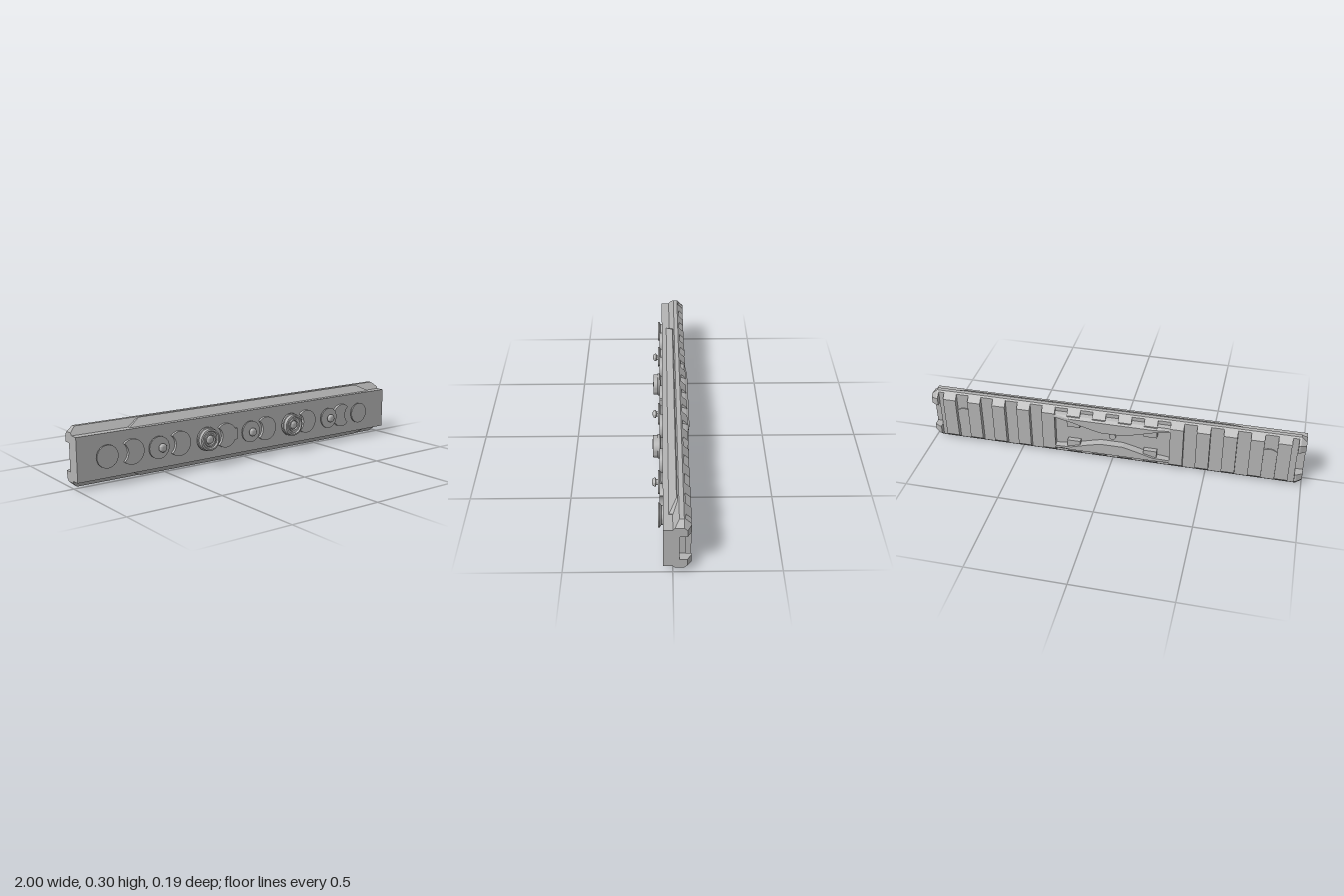
import * as THREE from 'three';
import { toCreasedNormals } from 'three/addons/utils/BufferGeometryUtils.js';

const MID = 0.15; // height of the rail's centre line
const PEAK = 0.298;

const mirrorPoints = (pts) => pts.map(([z, y]) => [z, 2 * MID - y]).reverse();

// Skins [z, y] outlines placed along x, with flat caps on both ends.
function loft(sections) {
  const pos = [];
  const put = ([x, pts], i) => pos.push(x, pts[i][1], pts[i][0]);
  for (let s = 0; s < sections.length - 1; s++) {
    const a = sections[s], b = sections[s + 1], n = a[1].length;
    for (let j = 0; j < n; j++) {
      const k = (j + 1) % n;
      put(a, j); put(b, j); put(a, k);
      put(b, j); put(b, k); put(a, k);
    }
  }
  for (const [sec, ccw] of [[sections[0], false], [sections[sections.length - 1], true]]) {
    const flat = sec[1].map(([z, y]) => new THREE.Vector2(-z, y));
    for (const [i, j, k] of THREE.ShapeUtils.triangulateShape(flat, [])) {
      const area = flat[j].clone().sub(flat[i]).cross(flat[k].clone().sub(flat[i]));
      for (const v of (area > 0) === ccw ? [i, j, k] : [i, k, j]) put(sec, v);
    }
  }
  const geo = new THREE.BufferGeometry();
  geo.setAttribute('position', new THREE.Float32BufferAttribute(pos, 3));
  geo.computeVertexNormals();
  return geo;
}

// Rail outline: back depth, peak height, channel depth and channel half height.
function railProfile(back, peak = PEAK, channel = back, half = 0.07) {
  const top = [
    [0.043, 0.26], [0, 0.26], [-(peak - 0.26) * 0.75, peak], [-0.05, peak],
    [-back, peak - (back - 0.05)], [-back, MID + half], [-channel, MID + half],
  ];
  return [...top, ...mirrorPoints(top)];
}

export function createModel() {
  const model = new THREE.Group();
  model.name = 'accessoryRail';
  const grey = new THREE.MeshStandardMaterial({ color: 0xb4b4b4 });
  grey.name = 'satinGrey';
  const add = (name, geo, x = 0, y = 0, z = 0) => {
    const mesh = new THREE.Mesh(geo, grey);
    mesh.name = name;
    mesh.position.set(x, y, z);
    model.add(mesh);
    return mesh;
  };

  // Rail body: chamfered, notched ends and a row of cross teeth on the back
  const TOOTH = 0.084, GROOVE = 0.058, NOTCH = 0.03;
  const sections = [
    [-1, railProfile(0.065, 0.272, NOTCH)],
    [-0.97, railProfile(TOOTH, PEAK, NOTCH)],
    [-0.96, railProfile(TOOTH, PEAK, NOTCH)],
    [-0.96, railProfile(GROOVE)],
  ];
  for (let i = 0; i < 14; i++) {
    const c = (i - 6.5) * 0.1375;
    const tooth = Math.abs(c) < 0.25 ? railProfile(TOOTH, PEAK, GROOVE, 0.045) : railProfile(TOOTH);
    sections.push(
      [c - 0.035, railProfile(GROOVE)], [c - 0.035, tooth],
      [c + 0.035, tooth], [c + 0.035, railProfile(GROOVE)],
    );
  }
  for (const [x, pts] of sections.slice(0, 4).reverse()) sections.push([-x, pts]);
  add('railBody', loft(sections));

  // Long ridges along the top and bottom edges, tapered at both ends
  const ridge = (y) => [[0.02, 0.257], [0.02 - (y - 0.259), y], [-0.022, y], [-0.022, 0.257]];
  const ridgeSections = [[-0.7, ridge(0.262)], [-0.63, ridge(0.297)], [0.83, ridge(0.297)], [0.9, ridge(0.262)]];

  // Raised grips in the middle of the back, with waisted inner edges
  const grip = (back, inner) => [
    [-0.055, 0.27], [-0.078, 0.262], [-back, 0.25], [-back, inner], [-0.055, inner - 0.005],
  ];
  const gripSections = [
    [-0.31, 0.084, 0.243], [-0.22, 0.094, 0.232], [-0.13, 0.094, 0.205], [-0.06, 0.094, 0.187],
    [0.06, 0.094, 0.187], [0.13, 0.094, 0.205], [0.22, 0.094, 0.232], [0.31, 0.084, 0.243],
  ].map(([x, back, inner]) => [x, grip(back, inner)]);

  for (const [name, secs] of [['edgeRidge', ridgeSections], ['backGrip', gripSections]]) {
    add(name + 'Top', loft(secs));
    add(name + 'Bottom', loft(secs.map(([x, pts]) => [x, mirrorPoints(pts)])));
  }

  // Turned parts point along +z
  const turned = (profile) => toCreasedNormals(
    new THREE.LatheGeometry(profile.map(([r, z]) => new THREE.Vector2(r, z)), 36).rotateX(Math.PI / 2), 0.6);

  // Mushroom-shaped mounting studs
  const stud = turned([[0.045, 0.04], [0.045, 0.05], [0.057, 0.058], [0.057, 0.066], [0, 0.066]]);
  for (const x of [-0.85, -0.565, 0, 0.553, 0.785]) add('mountingStud', stud, x, MID);

  // Ringed lock nuts with a recessed face
  const nut = turned([
    [0.045, 0.04], [0.045, 0.05], [0.062, 0.056], [0.062, 0.067], [0.057, 0.069], [0.057, 0.09],
    [0.048, 0.092], [0.044, 0.084], [0.036, 0.084], [0.034, 0.09], [0.026, 0.09], [0.024, 0.08], [0, 0.08],
  ]);
  for (const x of [-0.277, 0.277]) add('lockNut', nut, x, MID);

  // Domed screw heads
  const screw = turned([
    [0.014, 0.06], [0.014, 0.075], [0.022, 0.077], [0.022, 0.083], [0.018, 0.09], [0.01, 0.094], [0, 0.095],
  ]);
  for (const x of [-0.555, -0.277, 0, 0.277, 0.553]) add('screwHead', screw, x, MID);

  // Crescent spacer pads between the studs
  const crescent = new THREE.Shape();
  crescent.absarc(0, 0, 0.0636, -Math.PI * 0.75, Math.PI * 0.75, false);
  crescent.absarc(-0.08, 0, 0.057, 0.91, -0.91, true);
  const pad = new THREE.ExtrudeGeometry(crescent, { depth: 0.018, bevelEnabled: false, curveSegments: 24 });
  for (const x of [-0.71, -0.44, -0.155, 0.11, 0.395]) add('spacerPad', pad, x, MID, 0.04);
  add('spacerPad', pad, 0.66, MID, 0.04).rotation.z = Math.PI;
  add('locatingTab', new THREE.BoxGeometry(0.03, 0.06, 0.016), -0.1, MID, 0.049);

  // Stud ends showing in the grooves on the back
  const plug = new THREE.CylinderGeometry(0.055, 0.055, 0.01, 32).rotateX(Math.PI / 2);
  for (const x of [-0.82, 0.82]) add('backPlug', plug, x, MID, -0.058);
  const pin = new THREE.CylinderGeometry(0.018, 0.018, 0.012, 20).rotateX(Math.PI / 2);
  add('centrePin', pin, 0, MID, -0.059);

  return model;
}
